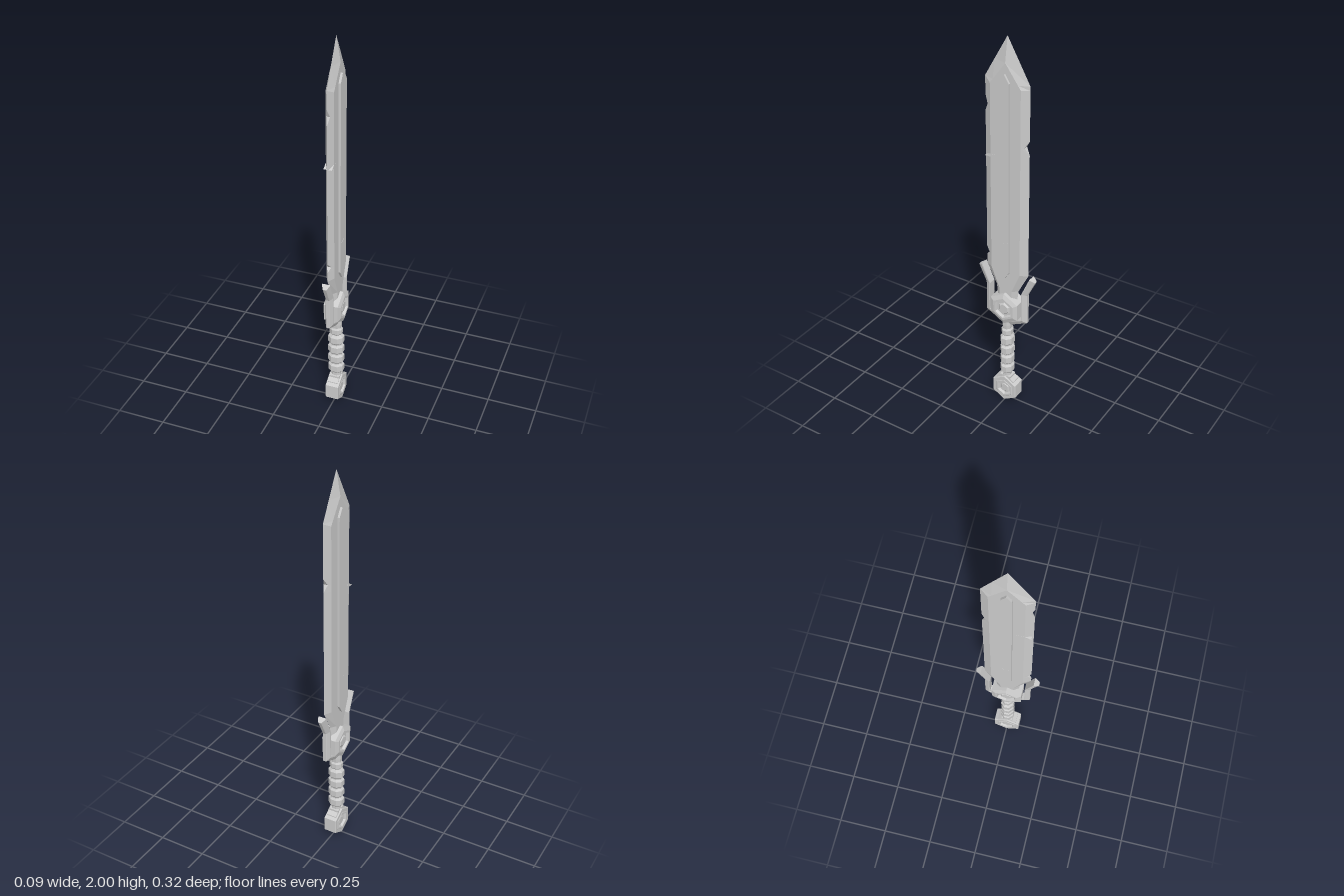
import * as THREE from 'three';

const material = new THREE.MeshStandardMaterial({ color: 0xcccccc, flatShading: true });

function add(parent, name, geometry) {
  const g = geometry.index ? geometry.toNonIndexed() : geometry;
  g.computeVertexNormals();
  const mesh = new THREE.Mesh(g, material);
  mesh.name = name;
  parent.add(mesh);
  return mesh;
}

// Skin a list of equal-length rings of [x, y, z] points and cap both ends
function loft(rings) {
  const n = rings[0].length, index = [], last = (rings.length - 1) * n;
  for (let i = 0; i < rings.length - 1; i++) {
    for (let j = 0; j < n; j++) {
      const a = i * n + j, b = i * n + (j + 1) % n;
      index.push(a, b, a + n, b, b + n, a + n);
    }
  }
  for (let k = 1; k < n - 1; k++) {
    index.push(0, k + 1, k, last, last + k, last + k + 1);
  }
  const g = new THREE.BufferGeometry();
  g.setAttribute('position', new THREE.Float32BufferAttribute(rings.flat(2), 3));
  g.setIndex(index);
  return g;
}

// Six-sided boss lying along x, from a half profile [radius, x] running centre to rim
function hexBoss(half, y) {
  const back = half.map(([r, x]) => new THREE.Vector2(r, -x));
  const front = half.map(([r, x]) => new THREE.Vector2(r, x)).reverse();
  return new THREE.LatheGeometry([...back, ...front], 6, Math.PI / 6)
    .rotateZ(-Math.PI / 2).translate(0, y, 0);
}

// Flat plate in the z-y plane, centred on x = 0
function plate(points, halfX) {
  const shape = new THREE.Shape(points.map(([z, y]) => new THREE.Vector2(-z, y)));
  return new THREE.ExtrudeGeometry(shape, { depth: halfX * 2, bevelEnabled: false })
    .translate(0, 0, -halfX).rotateY(Math.PI / 2);
}

export function createModel() {
  const sword = new THREE.Group();
  sword.name = 'sword';

  // Blade rows: y, ridge z, +z edge, -z edge, edge half thickness at each notch
  const T = 0.02;
  const rows = [
    [0.53, 0.03, 0.045, 0.045], [0.69, 0.035, 0.062, 0.062], [0.8, 0.08, 0.117, 0.117],
    [0.85, 0.08, 0.117, 0.117], [0.872, 0.08, 0.096, 0.117, 0.011], [0.897, 0.08, 0.117, 0.117],
    [1.455, 0.08, 0.117, 0.117], [1.49, 0.08, 0.117, 0.096, 0, 0.011], [1.525, 0.08, 0.117, 0.117],
    [1.62, 0.08, 0.117, 0.117], [1.66, 0.08, 0.1, 0.117, 0.009], [1.7, 0.08, 0.117, 0.117],
    [1.77, 0.08, 0.117, 0.117], [1.79, 0.065, 0.117, 0.117], [1.88, 0, 0.067, 0.067],
  ];
  const rings = rows.map(([y, r, p, m, e = 0, f = 0]) => [
    [e, y, p], [T, y, r], [T, y, -r], [f, y, -m],
    [-f, y, -m], [-T, y, -r], [-T, y, r], [-e, y, p],
  ]);
  rings.push(Array.from({ length: 8 }, () => [0, 2, 0]));
  add(sword, 'blade', loft(rings));

  // Raised strip down the middle of the blade
  add(sword, 'centreStrip', plate([
    [0, 0.76], [0.025, 0.8], [0.025, 1.79], [0, 1.83], [-0.025, 1.79], [-0.025, 0.8],
  ], 0.031));

  // Small nicks on the blade faces
  add(sword, 'upperNick', plate([[0.11, 1.402], [0.08, 1.418], [0.042, 1.418], [0.07, 1.402]], 0.0205));
  add(sword, 'lowerNick', plate([[0.014, 0.962], [-0.022, 0.97], [-0.022, 0.952]], 0.0315));

  // Guard arms: [outer z, outer y, inner z, inner y] from the centre to the tip
  const arm = [
    [0, 0.468, 0, 0.5], [0.02, 0.477, 0.015, 0.503], [0.117, 0.525, 0.09, 0.54],
    [0.117, 0.69, 0.09, 0.695], [0.16, 0.78, 0.134, 0.796],
  ].map(([oz, oy, iz, iy]) => {
    const mz = iz + (oz - iz) * 0.85, my = iy + (oy - iy) * 0.85;
    const cz = iz + (oz - iz) * 0.2, cy = iy + (oy - iy) * 0.2;
    return [
      [0.008, oy, oz], [0.011, my, mz], [T, cy, cz], [T, iy, iz],
      [-T, iy, iz], [-T, cy, cz], [-0.011, my, mz], [-0.008, oy, oz],
    ];
  });
  for (const [name, turn] of [['frontGuardArm', 0], ['backGuardArm', Math.PI]]) {
    add(sword, name, loft(arm)).rotation.y = turn;
  }

  // Hexagonal guard boss with a recessed ring and a raised centre
  add(sword, 'guardBoss', hexBoss([
    [0, 0.04], [0.026, 0.04], [0.034, 0.031], [0.046, 0.031],
    [0.052, 0.045], [0.064, 0.045], [0.088, 0.036],
  ], 0.585));

  // Grip: octagonal core with chamfered bands, all in one profile
  const profile = [[0, 0.1], [0.026, 0.1], [0.026, 0.172]];
  for (let i = 0; i < 4; i++) {
    const y = 0.176 + i * 0.0595;
    profile.push([0.032, y], [0.042, y + 0.01], [0.042, y + 0.043], [0.032, y + 0.053]);
  }
  profile.push([0.028, 0.412], [0.035, 0.42], [0.035, 0.445], [0.028, 0.454],
    [0.03, 0.475], [0.03, 0.51], [0, 0.51]);
  const grip = new THREE.LatheGeometry(profile.map(([r, y]) => new THREE.Vector2(r, y)), 8, Math.PI / 8);
  add(sword, 'grip', grip.scale(1, 1, 0.84));

  // Pommel with a stepped collar above it
  add(sword, 'pommelCollar', plate([
    [0.05, 0.09], [0.05, 0.13], [0.03, 0.145], [0.03, 0.155],
    [-0.03, 0.155], [-0.03, 0.145], [-0.05, 0.13], [-0.05, 0.09],
  ], 0.026));
  add(sword, 'pommel', hexBoss([
    [0, 0.03], [0.022, 0.03], [0.028, 0.024], [0.036, 0.024],
    [0.042, 0.036], [0.05, 0.036], [0.054, 0.034], [0.074, 0.034], [0.077, 0.031],
  ], 0.077));

  return sword;
}
